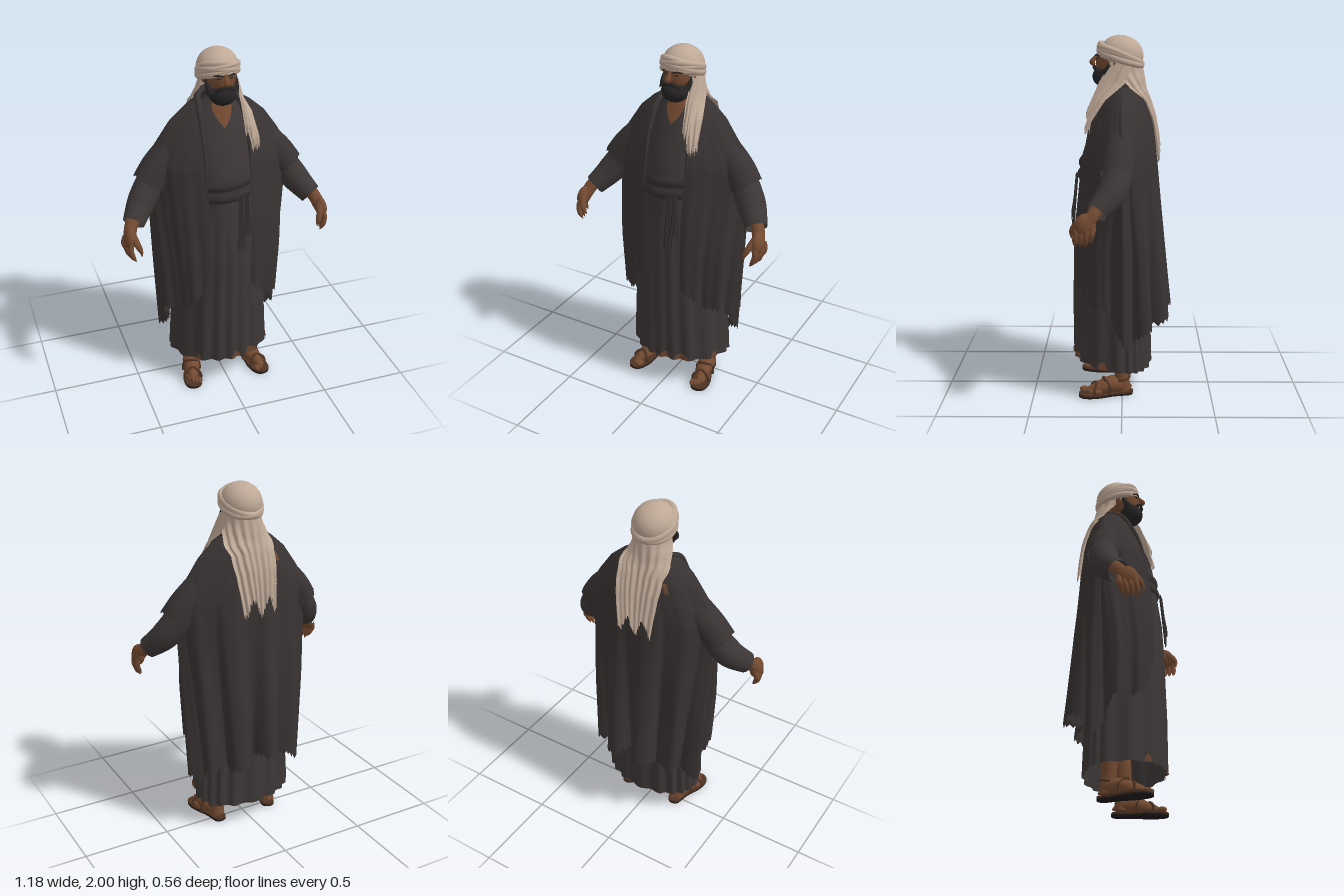
import * as THREE from 'three';

const mat = (name, color, double) => {
  const m = new THREE.MeshStandardMaterial({ color });
  m.name = name;
  if (double) m.side = THREE.DoubleSide;
  return m;
};
const rad = Math.PI / 180;

// linear lookup in a table of rows [key, a, b, ...] with rising keys
function look(table, k) {
  let i = 0;
  while (i < table.length - 2 && k > table[i + 1][0]) i++;
  const [p, q] = [table[i], table[i + 1]];
  const f = THREE.MathUtils.clamp((k - p[0]) / (q[0] - p[0]), 0, 1);
  return p.map((v, n) => v + (q[n] - v) * f);
}

// surface from fn(u, v) -> [x, y, z]; closed joins the ends of u
function grid(nu, nv, fn, closed = false) {
  const pos = [], idx = [], cols = closed ? nu : nu + 1;
  for (let j = 0; j <= nv; j++)
    for (let i = 0; i < cols; i++) pos.push(...fn(i / nu, j / nv, i, j));
  for (let j = 0; j < nv; j++)
    for (let i = 0; i < nu; i++) {
      const k = (i + 1) % cols, a = j * cols + i, b = j * cols + k;
      idx.push(a, b, a + cols, b, b + cols, a + cols);
    }
  const g = new THREE.BufferGeometry();
  g.setAttribute('position', new THREE.Float32BufferAttribute(pos, 3));
  g.setIndex(idx);
  g.computeVertexNormals();
  return g;
}

// round limb along a smooth path with changing radius; ragged frays its open end
function limb(points, radii, sides = 12, steps = 20, ragged = 0) {
  const curve = new THREE.CatmullRomCurve3(points.map(p => new THREE.Vector3(...p)));
  const fr = curve.computeFrenetFrames(steps);
  const table = radii.map((r, i) => [i / (radii.length - 1), r]);
  return grid(sides, steps, (u, v, i, j) => {
    const a = u * Math.PI * 2, r = look(table, v)[1];
    return curve.getPointAt(v).addScaledVector(fr.normals[j], r * Math.cos(a))
      .addScaledVector(fr.binormals[j], r * Math.sin(a))
      .addScaledVector(fr.tangents[j], j === steps ? ragged * ((i * 5) % 7) / 7 : 0).toArray();
  }, true);
}

// hanging cloth between two edges with a ragged end, rows [t, x, y, z, x, y, z]
const strip = (rows, bulge, pleat) => grid(24, 20, (u, v, i, j) => {
  const [, x, y, z, x2, y2, z2] = look(rows, v);
  const out = bulge * Math.sin(Math.PI * u) + pleat * Math.cos(u * 16 + v * 2);
  return [x + (x2 - x) * u + out * 0.6, y + (y2 - y) * u - (j === 20 ? 0.012 * ((i * 3) % 5) : 0), z + (z2 - z) * u + out];
});

// body tables: [y, halfWidth, frontDepth, backDepth]
const ROBE = [[0.13, 0.29, 0.27, 0.16], [0.5, 0.27, 0.275, 0.15], [0.9, 0.24, 0.27, 0.14], [1.2, 0.21, 0.24, 0.13],
  [1.36, 0.21, 0.22, 0.13], [1.5, 0.2, 0.17, 0.12], [1.62, 0.16, 0.125, 0.1], [1.7, 0.1, 0.085, 0.07], [1.74, 0.06, 0.06, 0.05]];
const CLOAK = [[0.3, 0.32, 0.25, 0.25], [0.6, 0.345, 0.26, 0.23], [0.85, 0.365, 0.265, 0.215], [1.1, 0.385, 0.26, 0.2],
  [1.3, 0.4, 0.235, 0.188], [1.4, 0.4, 0.22, 0.18], [1.5, 0.348, 0.19, 0.17], [1.62, 0.266, 0.14, 0.145],
  [1.7, 0.175, 0.1, 0.115], [1.745, 0.095, 0.07, 0.085]];
// hem height by distance from the back (0) to the front edge (1)
const HEM = [[0, 0.47], [0.28, 0.43], [0.47, 0.32], [0.56, 0.37], [0.68, 0.5], [0.85, 0.57], [1, 0.66]];

function ringPoint(table, th, y, off, power = 1) {
  const [, w, f, b] = look(table, y), c = Math.cos(th);
  return [(w + off) * Math.sin(th), y, ((c > 0 ? f : b) + off) * Math.sign(c) * Math.abs(c) ** power];
}
const robeFold = (th, y) => 0.009 * Math.cos(18 * th + 2 * Math.sin(3 * th)) * THREE.MathUtils.clamp(1.25 - y, 0, 1);
const robePoint = (th, y, off = 0) => ringPoint(ROBE, th, y, off + robeFold(th, y));

function cloakPoint(u, v, i, j) {
  const hem = look(HEM, Math.abs(2 * u - 1))[1] + 0.02 * Math.cos(u * 37);
  const y = 1.745 + (hem - 1.745) * Math.pow(v, 1.2);
  const open = Math.asin(Math.min(1, 0.12 / look(CLOAK, y)[1]));
  const th = 2 * Math.PI - open - u * 2 * (Math.PI - open);
  // deep rounded folds at the back, fading towards the front edges
  const grow = (0.6 - 0.4 * Math.cos(th)) * v ** 1.6, wave = 11 * (th - Math.PI) + 4.4;
  const fold = grow * (0.05 * Math.cos(wave) - 0.004) + 0.004 * v * Math.cos(31 * th);
  // shoulders are flatter from front to back than the hem
  const flat = THREE.MathUtils.smoothstep(y, 0.8, 1.35), back = Math.cos(th) < 0 ? 0.12 : 0;
  const p = ringPoint(CLOAK, th + 0.045 * grow * Math.sin(wave), y, fold, 1 + back + (0.6 - back) * flat);
  if (j === 44) p[1] += ((i * 37) % 11) / 11 * 0.035 - 0.02;
  return p;
}

export function createModel() {
  const root = new THREE.Group();
  root.name = 'robedMan';
  const M = {
    cloak: mat('cloak cloth', 0x383332, true), robe: mat('robe cloth', 0x3c3736, true), sash: mat('sash cloth', 0x353030, true),
    scarf: mat('head scarf', 0xbfa997, true), skin: mat('skin', 0x734a31), beard: mat('beard', 0x262424),
    strap: mat('sandal leather', 0x4e3323), sole: mat('sandal sole', 0x1f1b1a), lining: mat('worn patch', 0x6b4632, true),
  };
  const add = (name, geo, m, parent = root) => {
    const mesh = new THREE.Mesh(geo, m);
    mesh.name = name;
    parent.add(mesh);
    return mesh;
  };
  const ball = (name, m, p, s, parent) => {
    const b = add(name, new THREE.SphereGeometry(1, 28, 18), m, parent);
    b.position.set(...p);
    b.scale.set(...s);
    return b;
  };

  // robe with a slanted hem, open neck and worn patches
  add('robe', grid(144, 40, (u, v) => {
    const th = u * Math.PI * 2, hem = 0.165 + 0.025 * Math.cos(th);
    return robePoint(th, hem + (1.74 - hem) * v);
  }, true), M.robe);
  add('neckOpening', grid(8, 8, (u, v) => robePoint((u - 0.5) * 1.4 * v, 1.6 + 0.13 * v, 0.005)), M.skin);
  for (const [a, b] of [[-0.02, 0.2], [0.28, 0.6], [-0.75, -0.62], [1.05, 1.25]])
    add('hemPatch', grid(10, 3, (u, v) => {
      const th = a + (b - a) * u;
      return robePoint(th, 0.167 + 0.025 * Math.cos(th) + v * 0.042 * Math.sqrt(Math.sin(Math.PI * u) + 1e-6), 0.004);
    }), M.lining);

  // wrapped sash and its hanging ends
  add('sash', grid(64, 16, (u, v) => robePoint(u * Math.PI * 2, 1.21 + 0.13 * v + 0.008 * Math.sin(u * 12.56),
    0.013 * Math.abs(Math.sin(v * Math.PI * 2)) + 0.004), true), M.sash);
  for (const [x, y] of [[0.05, 0.96], [0.085, 1.04]])
    add('sashEnd', strip([[0, x - 0.015, 1.25, 0.25, x + 0.015, 1.25, 0.245], [0.4, x - 0.02, 1.12, 0.265, x + 0.02, 1.12, 0.255],
      [1, x - 0.024, y, 0.28, x + 0.026, y, 0.265]], 0.006, 0.003), M.sash);

  // cloak with folds, ragged hem and rolled collar
  add('cloak', grid(240, 44, cloakPoint), M.cloak);
  const half = [[0.125, 1.25, 0.22], [0.125, 1.5, 0.172], [0.122, 1.62, 0.118], [0.118, 1.7, 0.06], [0.09, 1.745, -0.04]];
  add('cloakCollar', limb([...half, [0, 1.75, -0.085], ...half.map(([x, y, z]) => [-x, y, z]).reverse()],
    [0.004, 0.01, 0.017, 0.02, 0.017, 0.01, 0.004], 10, 60), M.cloak);
  add('cloakPatch', grid(4, 4, (u, v) => ringPoint(CLOAK, Math.PI + 0.5 + 0.09 * u, 1.58 + 0.05 * v, 0.008, 1.6)), M.lining);

  for (const s of [1, -1]) {
    const side = s > 0 ? 'left' : 'right';
    const L = (name, pts, r, m, n, k, rag) => add(side + name, limb(pts.map(([x, y, z]) => [s * x, y, z]), r, n, k, rag), m);
    // draped upper sleeve, then the narrower forearm sleeve
    L('CloakSleeve', [[0.18, 1.53, 0], [0.28, 1.44, 0.005], [0.35, 1.36, 0.015], [0.39, 1.3, 0.025]],
      [0.06, 0.082, 0.088, 0.09], M.cloak, 28, 20, 0.022);
    L('Sleeve', [[0.28, 1.4, 0], [0.385, 1.285, 0.02], [0.45, 1.195, 0.06], [0.512, 1.12, 0.13]],
      [0.07, 0.08, 0.078, 0.06], M.robe, 20);
    // wrist, palm, fingers and thumb
    L('Wrist', [[0.48, 1.18, 0.09], [0.53, 1.11, 0.145], [0.55, 1.06, 0.18]], [0.036, 0.036, 0.034], M.skin);
    const palm = ball(side + 'Palm', M.skin, [s * 0.55, 1.065, 0.185], [0.031, 0.06, 0.054]);
    palm.rotation.set(-0.35, 0, s * 0.15);
    for (let i = 0; i < 4; i++) {
      const z = 0.143 + 0.027 * i, d = i === 0 ? 0.02 : 0, x = -0.006 * i;
      L('Finger', [[0.562 + x, 1.06, z], [0.575 + x, 1.02, z + 0.008], [0.568 + x, 0.98 + d, z + 0.014], [0.548 + x, 0.945 + d, z + 0.014]],
        [0.016, 0.0165, 0.0155, 0.014, 0.002], M.skin, 8, 10);
    }
    L('Thumb', [[0.54, 1.09, 0.2], [0.523, 1.05, 0.24], [0.508, 1.015, 0.258], [0.503, 0.985, 0.258]],
      [0.022, 0.02, 0.016, 0.003], M.skin, 8, 10);

    // leg and sandalled foot, turned outwards
    const foot = new THREE.Group();
    foot.name = side + 'Foot';
    foot.position.set(s * 0.172, 0, 0);
    foot.rotation.y = s * 0.2;
    root.add(foot);
    add('ankle', limb([[0, 0.32, -0.005], [0, 0.18, 0.005], [0, 0.1, 0.002], [0, 0.03, -0.005]], [0.052, 0.047, 0.04, 0.044]), M.skin, foot);
    add('footBody', limb([[0, 0.04, -0.056], [0, 0.05, -0.02], [0, 0.062, 0.05], [0, 0.048, 0.12], [0, 0.036, 0.19], [0, 0.03, 0.225]],
      [0.004, 0.042, 0.048, 0.042, 0.028, 0.004], 16).scale(1.05, 1, 1), M.skin, foot);
    for (let i = 0; i < 5; i++)
      ball('toe', M.skin, [s * (-0.036 + 0.019 * i), 0.032, 0.212 - 0.004 * i * i], [i ? 0.011 : 0.014, 0.015, 0.026], foot);
    const outline = new THREE.Shape(new THREE.SplineCurve([[0, -0.062], [0.036, -0.04], [0.038, 0.05], [0.055, 0.15],
      [0.042, 0.225], [0, 0.248], [-0.042, 0.225], [-0.055, 0.15], [-0.038, 0.05], [-0.036, -0.04], [0, -0.062]]
      .map(p => new THREE.Vector2(...p))).getPoints(44));
    const slab = (name, y, h, m) => add(name, new THREE.ExtrudeGeometry(outline, { depth: h, bevelEnabled: false })
      .rotateX(Math.PI / 2).translate(0, y + h, 0), m, foot);
    slab('sole', 0, 0.01, M.sole);
    slab('footbed', 0.01, 0.01, M.strap);
    for (const [z, w, h, z2] of [[0.165, 0.05, 0.078, 0.145], [0.08, 0.05, 0.104, 0.11]])
      add('strap', limb([[-w, 0.015, z], [-w * 0.85, h * 0.65, z], [0, h, z2], [w * 0.85, h * 0.65, z], [w, 0.015, z]], [0.008, 0.008], 8), M.strap, foot);
    const loop = add('ankleStrap', new THREE.TorusGeometry(0.043, 0.006, 8, 24), M.strap, foot);
    loop.rotation.x = Math.PI / 2 + 0.2;
    loop.position.y = 0.095;

    // ear, eye, eyebrow and facial hair
    ball(side + 'Ear', M.skin, [s * 0.083, 1.855, 0.03], [0.012, 0.028, 0.02]);
    ball(side + 'Eye', M.beard, [s * 0.033, 1.876, 0.134], [0.013, 0.004, 0.008]);
    L('Eyebrow', [[0.012, 1.889, 0.147], [0.035, 1.895, 0.142], [0.06, 1.887, 0.118]], [0.003, 0.005, 0.003], M.beard, 8, 10);
    L('Moustache', [[0, 1.832, 0.155], [0.025, 1.828, 0.153], [0.05, 1.806, 0.135]], [0.009, 0.01, 0.005], M.beard, 8, 10);
    L('Sideburn', [[0.08, 1.86, 0.06], [0.076, 1.82, 0.08], [0.058, 1.785, 0.1]], [0.006, 0.016, 0.03], M.beard, 10, 10);
  }

  // neck, head, nose and beard
  add('neck', limb([[0, 1.62, 0.01], [0, 1.72, 0.015], [0, 1.82, 0.03]], [0.075, 0.056, 0.058], 20), M.skin);
  ball('head', M.skin, [0, 1.86, 0.04], [0.083, 0.115, 0.105]);
  add('nose', limb([[0, 1.895, 0.138], [0, 1.87, 0.157], [0, 1.852, 0.166], [0, 1.841, 0.15]], [0.007, 0.011, 0.016, 0.006], 10), M.skin);
  ball('beard', M.beard, [0, 1.778, 0.092], [0.074, 0.063, 0.072]);

  // turban dome and wraps, high on the brow and low at the nape
  const dome = ball('turbanDome', M.scarf, [0, 1.897, 0.004], [0.111, 0.103, 0.12]);
  dome.rotation.x = -0.25;
  const wraps = [[1.868, 0.03, 0.006, 0.097, 0.021], [1.882, 0.04, -0.012, 0.101, 0.019], [1.892, 0.045, 0.014, 0.101, 0.018],
    [1.9, 0.052, -0.008, 0.096, 0.018], [1.878, 0.034, 0.02, 0.101, 0.018]];
  for (const [y, tilt, lean, r, t] of wraps) {
    const pts = Array.from({ length: 20 }, (_, i) => {
      const a = i * 18 * rad;
      return new THREE.Vector3(r * Math.sin(a), y + tilt * Math.cos(a) + lean * Math.sin(a), 0.01 + r * 1.12 * Math.cos(a));
    });
    add('turbanWrap', new THREE.TubeGeometry(new THREE.CatmullRomCurve3(pts, true), 64, t, 10, true), M.scarf);
  }

  // scarf falling over the neck and back: rows [t, y, halfWidth, depth, halfAngle]
  const fall = [[0, 1.88, 0.095, 0.1, 105], [0.18, 1.8, 0.102, 0.112, 102], [0.34, 1.72, 0.14, 0.124, 70], [0.45, 1.66, 0.225, 0.147, 36],
    [0.62, 1.56, 0.31, 0.177, 24], [0.8, 1.46, 0.37, 0.192, 18], [1, 1.38, 0.4, 0.201, 15]];
  add('scarfBack', grid(72, 30, (u, v, i, j) => {
    const [, y, w, d, a] = look(fall, v), s = 2 * u - 1;
    const th = Math.PI - s * a * rad, pleat = 0.006 * Math.cos(s * 24 + 3 * v) * Math.min(1, v * 3);
    const drop = v * v * (0.045 * Math.cos(s * 7 + 0.6) + (j === 30 ? 0.01 * ((i * 3) % 4) : 0));
    return [(w + pleat) * Math.sin(th), y - drop, (d + pleat + 0.004) * Math.cos(th)];
  }), M.scarf);
  // broad end of the scarf brought forward over one shoulder
  add('scarfFront', strip([[0, 0.085, 1.86, 0.06, 0.1, 1.85, -0.05], [0.3, 0.082, 1.76, 0.115, 0.13, 1.745, -0.01],
    [0.6, 0.095, 1.65, 0.16, 0.165, 1.66, 0.09], [1, 0.13, 1.51, 0.2, 0.18, 1.53, 0.175]], 0.008, 0.005), M.scarf);
  add('scarfFrontFold', strip([[0, 0.083, 1.84, 0.07, 0.1, 1.83, 0.02], [0.4, 0.084, 1.74, 0.13, 0.115, 1.74, 0.09],
    [1, 0.095, 1.6, 0.185, 0.135, 1.59, 0.18]], 0.01, 0.004), M.scarf);
  return root;
}
